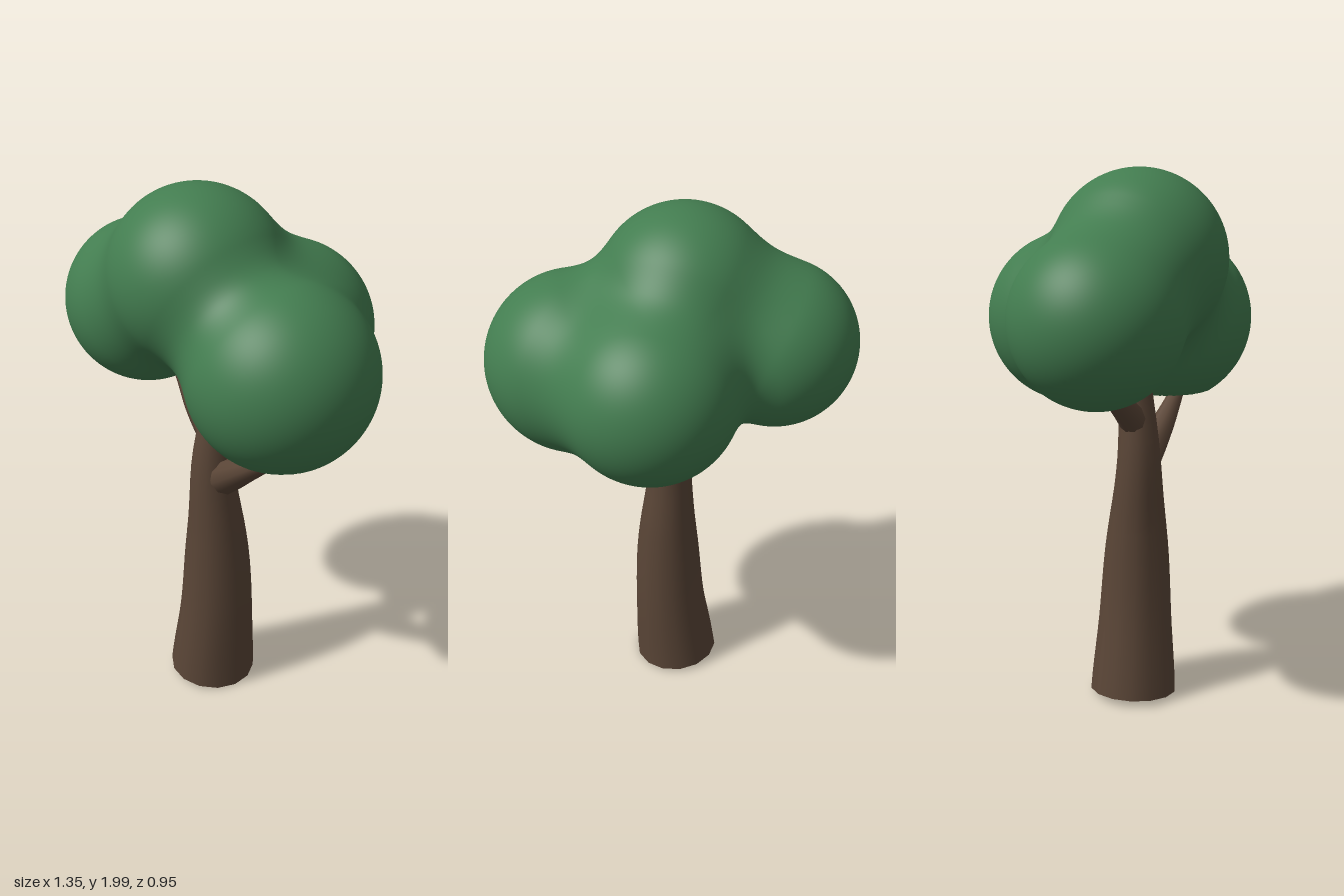
import * as THREE from 'three';
import { mergeVertices } from 'three/addons/utils/BufferGeometryUtils.js';

const V = (x, y, z) => new THREE.Vector3(x, y, z);

const bark = new THREE.MeshStandardMaterial({ color: 0x5c4738, side: THREE.DoubleSide });
const leaf = new THREE.MeshStandardMaterial({ color: 0x437d50, side: THREE.DoubleSide });

// Open tapering tube along a curve; each ring is scaled to its own radius
function limb(name, points, radii, sides) {
  const curve = new THREE.CatmullRomCurve3(points);
  const rings = 24;
  const geo = new THREE.TubeGeometry(curve, rings, 1, sides, false);
  const pos = geo.attributes.position;
  const v = V(0, 0, 0);
  const taper = new THREE.SplineCurve(radii.map((r, i) => new THREE.Vector2(i, r)));
  for (let i = 0; i <= rings; i++) {
    const centre = curve.getPointAt(i / rings);
    const r = taper.getPoint(i / rings).y;
    for (let j = 0; j <= sides; j++) {
      const k = i * (sides + 1) + j;
      v.fromBufferAttribute(pos, k).sub(centre).multiplyScalar(r).add(centre);
      pos.setXYZ(k, v.x, v.y, v.z);
    }
  }
  const mesh = new THREE.Mesh(geo, bark);
  mesh.name = name;
  return mesh;
}

// Leaf clumps that melt into each other: centre and radius
const clumps = [
  { c: V(-0.37, 1.49, 0.08), r: 0.305 },
  { c: V(-0.05, 1.675, 0.14), r: 0.32 },
  { c: V(0.34, 1.42, 0.14), r: 0.335 },
  { c: V(0.1, 1.44, -0.155), r: 0.32 },
];

// Smooth union of the clumps
function field(p) {
  const k = 0.13;
  let d = Infinity;
  for (const { c, r } of clumps) {
    const e = p.distanceTo(c) - r;
    if (d === Infinity) { d = e; continue; }
    const h = Math.max(k - Math.abs(d - e), 0) / k;
    d = Math.min(d, e) - h * h * k * 0.25;
  }
  return d;
}

// Sphere shrunk on to the clumps, cut open along a level underside
function foliage() {
  const cut = 1.14;
  const core = V(0.02, 1.5, 0.08);
  let geo = new THREE.IcosahedronGeometry(1, 48);
  geo.deleteAttribute('uv');
  geo.deleteAttribute('normal');
  geo = mergeVertices(geo, 1e-5);
  const pos = geo.attributes.position;
  const dir = V(0, 0, 0), p = V(0, 0, 0);
  const below = [];
  for (let i = 0; i < pos.count; i++) {
    dir.fromBufferAttribute(pos, i).normalize();
    let t = 1.3;
    for (let n = 0; n < 80; n++) {
      const d = field(p.copy(core).addScaledVector(dir, t));
      if (d < 1e-4) break;
      t -= d * 0.9;
    }
    p.copy(core).addScaledVector(dir, t);
    below[i] = p.y < cut;
    if (below[i]) p.copy(core).addScaledVector(dir, (cut - core.y) / dir.y);
    pos.setXYZ(i, p.x, p.y, p.z);
  }
  // Leave out the triangles that fall inside the cut
  const kept = [];
  const index = geo.index.array;
  for (let i = 0; i < index.length; i += 3) {
    const [a, b, c] = [index[i], index[i + 1], index[i + 2]];
    if (!(below[a] && below[b] && below[c])) kept.push(a, b, c);
  }
  geo.setIndex(kept);
  geo.computeVertexNormals();
  const mesh = new THREE.Mesh(geo, leaf);
  mesh.name = 'foliage';
  return mesh;
}

export function createModel() {
  const tree = new THREE.Group();
  tree.name = 'tree';
  tree.add(
    limb('trunk',
      [V(-0.02, 0.018, 0.12), V(0.008, 0.35, 0.12), V(0.013, 0.65, 0.123), V(0.005, 0.95, 0.13), V(0.022, 1.2, 0.11), V(0.03, 1.4, 0.1)],
      [0.165, 0.142, 0.123, 0.09, 0.068, 0.05], 14),
    limb('leftBranch',
      [V(0.07, 0.92, 0.135), V(0.22, 1.025, 0.17), V(0.38, 1.14, 0.19), V(0.48, 1.22, 0.19)],
      [0.066, 0.047, 0.03, 0.02], 10),
    limb('rightBranch',
      [V(0, 1.06, 0.12), V(-0.1, 1.14, 0.1), V(-0.22, 1.24, 0.06), V(-0.3, 1.31, 0.05)],
      [0.056, 0.046, 0.034, 0.022], 10),
    foliage(),
  );
  return tree;
}
